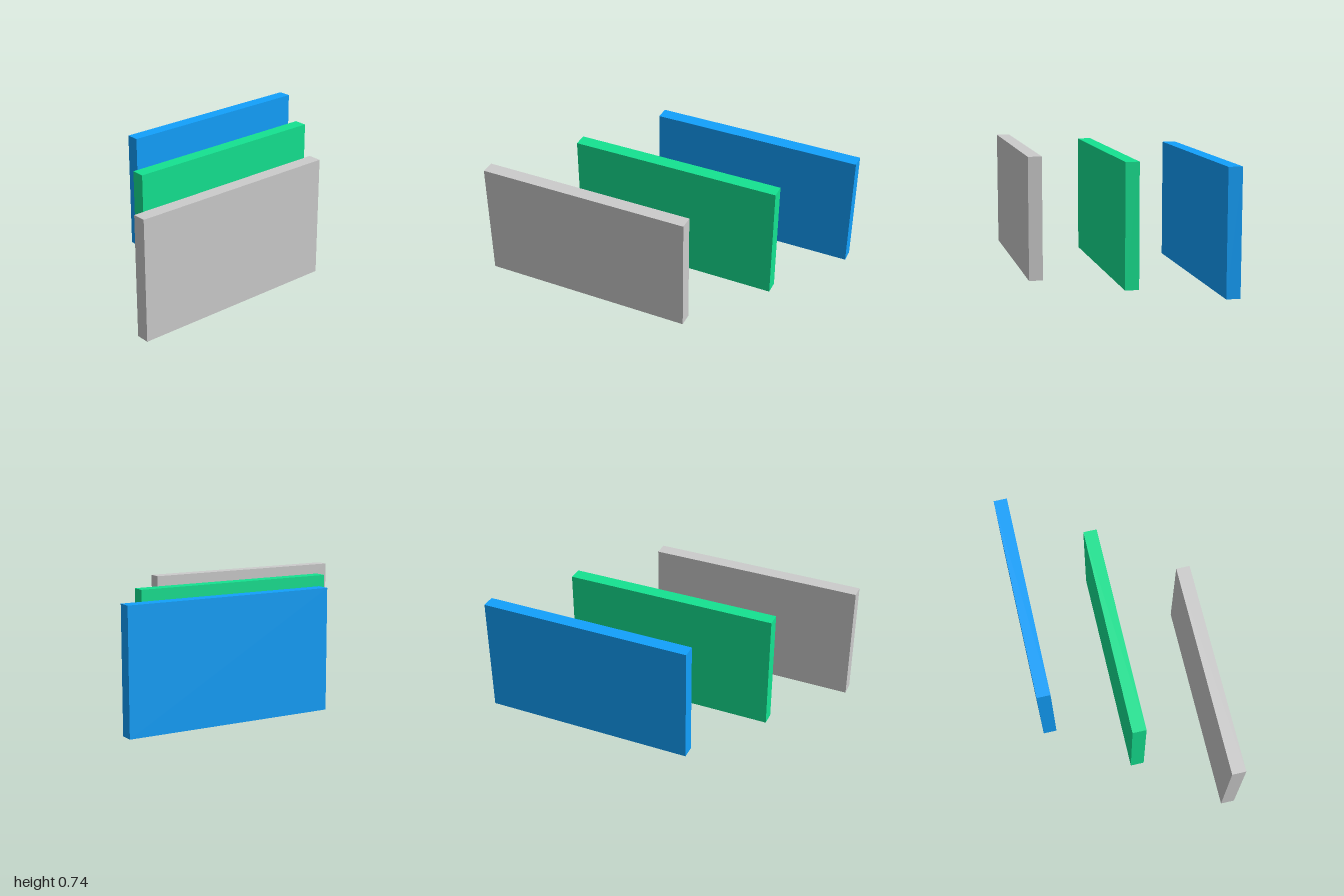
import * as THREE from 'three';

const WIDTH = 1.306, HEIGHT = 0.738, DEPTH = 0.083;

// Three upright panels, staggered sideways from front to back
const PANELS = [
  { name: 'frontPanel', color: 0xcccccc, x: -0.347, z: 0.493 },
  { name: 'middlePanel', color: 0x14e391, x: 0.017, z: 0 },
  { name: 'backPanel', color: 0x12a1fd, x: 0.347, z: -0.493 },
];

export function createModel() {
  const model = new THREE.Group();
  model.name = 'staggeredPanels';
  const geometry = new THREE.BoxGeometry(WIDTH, HEIGHT, DEPTH);

  for (const { name, color, x, z } of PANELS) {
    const panel = new THREE.Mesh(geometry, new THREE.MeshStandardMaterial({ color }));
    panel.name = name;
    panel.position.set(x, HEIGHT / 2, z);
    model.add(panel);
  }
  return model;
}
